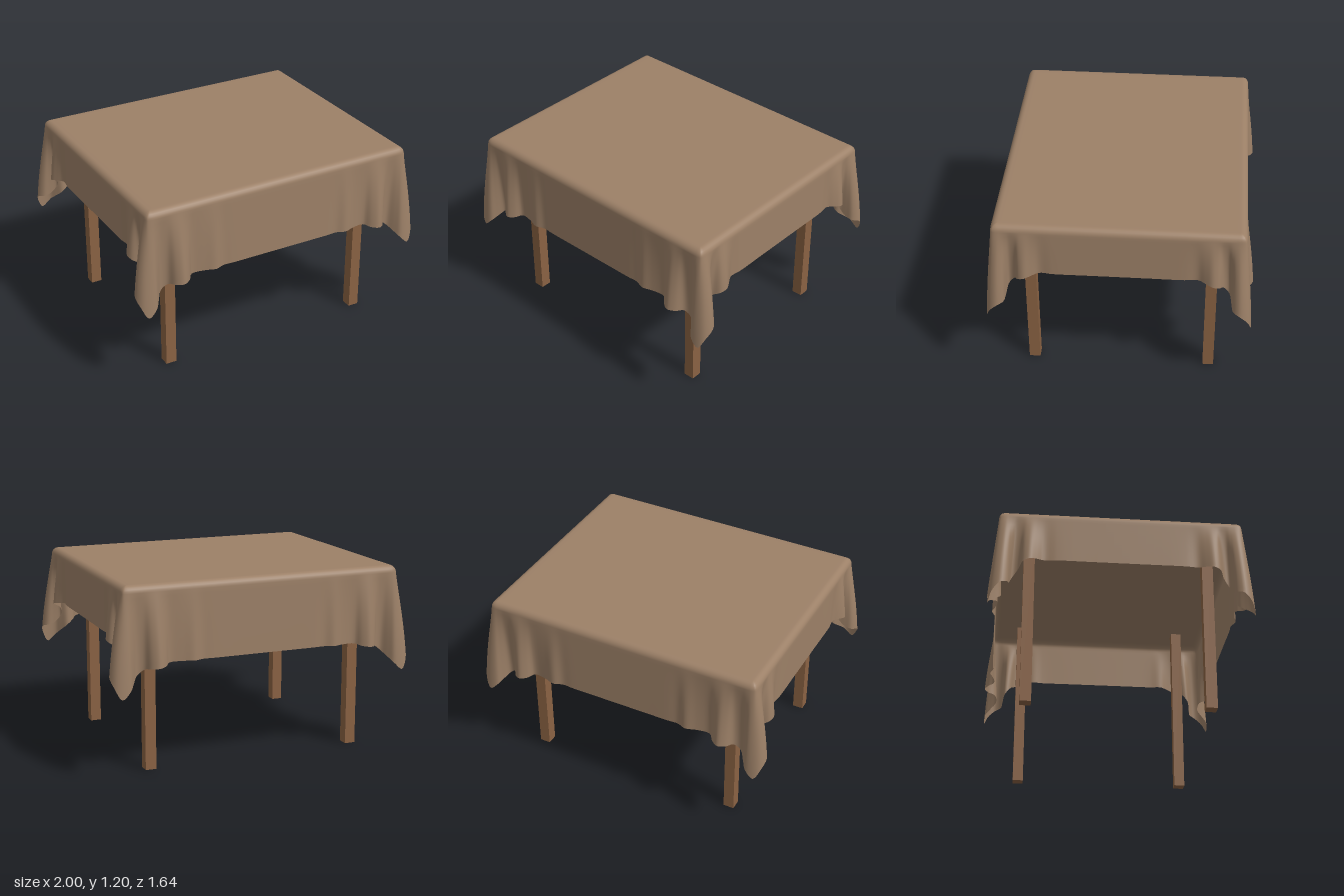
import * as THREE from 'three';

const TOP = 1.2, ROUND = 0.045, AROUND = 432;

// One quarter of the cloth, from front middle to side middle:
// [edge x, edge z, hem x, hem z, hem y]
const QUARTER = [
  [0, 0.765, 0, 0.768, 0.72],
  [0.2, 0.765, 0.2, 0.768, 0.72],
  [0.34, 0.765, 0.34, 0.768, 0.72],
  [0.41, 0.765, 0.41, 0.765, 0.72],
  [0.47, 0.765, 0.47, 0.785, 0.72],
  [0.54, 0.765, 0.54, 0.765, 0.72],
  [0.62, 0.765, 0.625, 0.755, 0.716],
  [0.67, 0.765, 0.66, 0.795, 0.705],
  [0.71, 0.765, 0.705, 0.82, 0.7],
  [0.75, 0.765, 0.75, 0.795, 0.695],
  [0.79, 0.765, 0.78, 0.745, 0.685],
  [0.83, 0.765, 0.825, 0.735, 0.65],
  [0.865, 0.765, 0.86, 0.775, 0.61],
  [0.892, 0.763, 0.89, 0.81, 0.575],
  [0.911, 0.756, 0.945, 0.815, 0.53],
  [0.918, 0.74, 0.985, 0.79, 0.6],
  [0.92, 0.72, 1.0, 0.74, 0.655],
  [0.92, 0.7, 0.975, 0.7, 0.67],
  [0.92, 0.675, 0.93, 0.69, 0.685],
  [0.92, 0.65, 0.885, 0.675, 0.74],
  [0.92, 0.62, 0.9, 0.635, 0.8],
  [0.92, 0.59, 0.948, 0.61, 0.83],
  [0.92, 0.56, 0.962, 0.57, 0.845],
  [0.92, 0.52, 0.94, 0.525, 0.855],
  [0.92, 0.47, 0.915, 0.48, 0.86],
  [0.92, 0.4, 0.922, 0.4, 0.86],
  [0.92, 0.2, 0.922, 0.2, 0.86],
  [0.92, 0, 0.922, 0, 0.86],
];

// Mirror the quarter into a closed loop
function fullLoop() {
  const flipZ = ([a, b, c, d, e]) => [a, -b, c, -d, e];
  const flipX = ([a, b, c, d, e]) => [-a, b, -c, d, e];
  const half = [...QUARTER, ...QUARTER.slice(0, -1).reverse().map(flipZ)];
  return [...half, ...half.slice(1, -1).reverse().map(flipX)];
}

function clothGeometry() {
  const loop = fullLoop();
  const edge = new THREE.CatmullRomCurve3(loop.map(p => new THREE.Vector3(p[0], TOP - ROUND, p[1])), true);
  const hem = new THREE.CatmullRomCurve3(loop.map(p => new THREE.Vector3(p[2], p[4], p[3])), true);
  const columns = [];
  for (let k = 0; k < AROUND; k++) {
    const e = edge.getPoint(k / AROUND), h = hem.getPoint(k / AROUND);
    const inner = new THREE.Vector3(
      THREE.MathUtils.clamp(e.x, -0.875, 0.875), TOP, THREE.MathUtils.clamp(e.z, -0.72, 0.72));
    const col = [];
    // flat top
    for (const s of [0, 0.5, 0.97]) col.push(new THREE.Vector3(inner.x * s, TOP, inner.z * s));
    // rounded table edge
    for (let j = 0; j <= 6; j++) {
      const a = j / 6 * Math.PI / 2, s = Math.sin(a);
      col.push(new THREE.Vector3(
        inner.x + (e.x - inner.x) * s, TOP - ROUND * (1 - Math.cos(a)), inner.z + (e.z - inner.z) * s));
    }
    // hanging side, folds growing toward the hem
    for (let j = 1; j <= 16; j++) {
      const t = j / 16, w = 0.6 * t + 0.4 * Math.sin(t * Math.PI / 2);
      col.push(new THREE.Vector3(
        THREE.MathUtils.lerp(e.x, h.x, w), THREE.MathUtils.lerp(e.y, h.y, t), THREE.MathUtils.lerp(e.z, h.z, w)));
    }
    columns.push(col);
  }
  const rows = columns[0].length, positions = [], index = [];
  for (const col of columns) for (const p of col) positions.push(p.x, p.y, p.z);
  for (let k = 0; k < AROUND; k++) {
    const n = (k + 1) % AROUND;
    for (let j = 0; j < rows - 1; j++) {
      const a = k * rows + j, b = n * rows + j;
      if (j > 0) index.push(a, a + 1, b);
      index.push(b, a + 1, b + 1);
    }
  }
  const g = new THREE.BufferGeometry();
  g.setAttribute('position', new THREE.Float32BufferAttribute(positions, 3));
  g.setIndex(index);
  g.computeVertexNormals();
  // centre points all face straight up
  for (let k = 0; k < AROUND; k++) g.attributes.normal.setXYZ(k * rows, 0, 1, 0);
  return g;
}

export function createModel() {
  const cloth = new THREE.MeshStandardMaterial({ color: 0x9c8067, side: THREE.DoubleSide });
  cloth.name = 'tan cloth';
  const wood = new THREE.MeshStandardMaterial({ color: 0x8a6243 });
  wood.name = 'brown wood';

  const model = new THREE.Group();
  model.name = 'coveredTable';

  const tablecloth = new THREE.Mesh(clothGeometry(), cloth);
  tablecloth.name = 'tablecloth';
  model.add(tablecloth);

  // Four square legs
  const legHeight = 1.18;
  const legGeometry = new THREE.BoxGeometry(0.07, legHeight, 0.07);
  for (const [sx, side] of [[1, 'Left'], [-1, 'Right']]) {
    for (const [sz, end] of [[1, 'front'], [-1, 'back']]) {
      const leg = new THREE.Mesh(legGeometry, wood);
      leg.name = `${end}${side}Leg`;
      leg.position.set(sx * 0.695, legHeight / 2, sz * 0.565);
      model.add(leg);
    }
  }
  return model;
}
